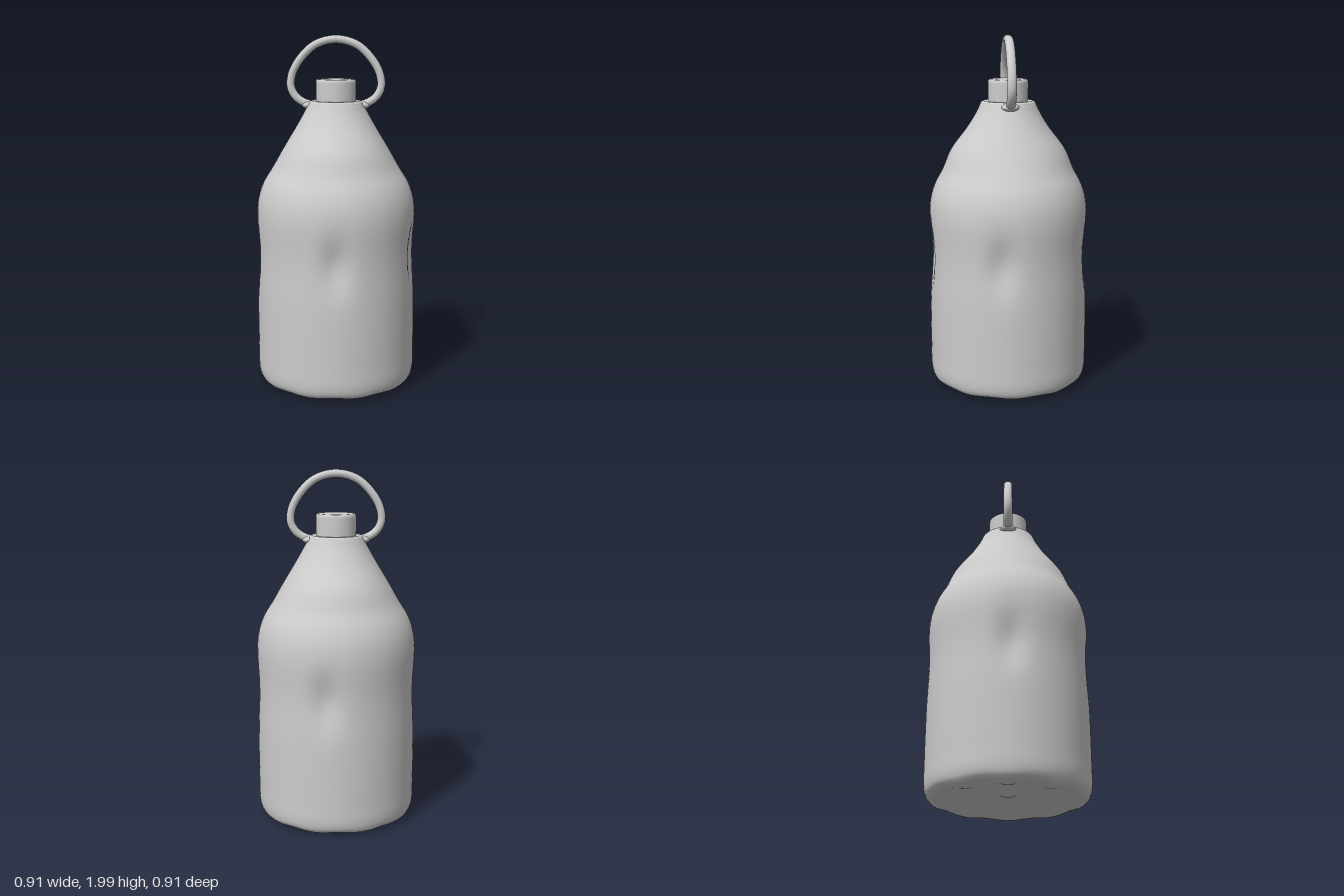
import * as THREE from 'three';
import { mergeVertices } from 'three/addons/utils/BufferGeometryUtils.js';

const material = new THREE.MeshStandardMaterial({ color: 0xcccccc });

// Smooth curve through [radius, height] pairs, spun around y
function spin(pairs, steps, segments) {
  const curve = new THREE.CatmullRomCurve3(pairs.map(([r, y]) => new THREE.Vector3(r, y, 0)), false, 'centripetal');
  const points = curve.getSpacedPoints(steps).map((p) => new THREE.Vector2(Math.max(p.x, 0), p.y));
  return new THREE.LatheGeometry(points, segments);
}

function add(group, name, geometry) {
  const mesh = new THREE.Mesh(geometry, material);
  mesh.name = name;
  group.add(mesh);
  return mesh;
}

const bell = (d, width) => Math.exp(-((d / width) ** 2));

// Bottle body: smooth profile, then finger dents, waist and scalloped base
function bodyGeometry() {
  const geo = spin([
    [0, 0.035], [0.03, 0.04], [0.06, 0.055], [0.15, 0.045], [0.28, 0.025], [0.36, 0.012], [0.405, 0.012],
    [0.438, 0.03], [0.452, 0.07], [0.455, 0.2], [0.455, 0.5], [0.455, 0.8], [0.455, 1.0],
    [0.443, 1.09], [0.415, 1.17], [0.36, 1.26], [0.303, 1.36], [0.225, 1.49], [0.18, 1.57],
    [0.163, 1.605], [0.155, 1.625], [0.14, 1.633], [0.1, 1.633],
  ], 120, 96);
  // Dent directions, measured from +z towards +x
  const dents = [0.04, Math.PI / 2 - 0.16, Math.PI - 0.16, -Math.PI / 2 + 0.04];
  const pos = geo.attributes.position;
  for (let i = 0; i < pos.count; i++) {
    const x = pos.getX(i), y = pos.getY(i), z = pos.getZ(i);
    const r = Math.hypot(x, z);
    if (r < 1e-6) continue;
    const a = Math.atan2(x, z);
    let nr = r;
    if (y > 0.1) {
      nr -= 0.006 * bell(y - 0.76, 0.17);
      for (const d of dents) {
        const off = Math.atan2(Math.sin(a - d), Math.cos(a - d));
        nr -= 0.036 * bell(off, 0.17) * bell(y - 0.77, 0.15);
      }
      // Shoulder is a little fuller front and back
      nr += 0.022 * Math.cos(a) ** 2 * bell(y - 1.36, 0.1);
    }
    const wave = 0.006 * Math.cos(a * 10) * bell(r - 0.37, 0.07) * (y < 0.06 ? 1 : 0);
    pos.setXYZ(i, (x / r) * nr, Math.max(0, y + wave), (z / r) * nr);
  }
  // Weld the seam so that shading stays smooth
  geo.deleteAttribute('uv');
  geo.deleteAttribute('normal');
  const welded = mergeVertices(geo, 1e-5);
  welded.computeVertexNormals();
  return welded;
}

export function createModel() {
  const group = new THREE.Group();
  group.name = 'bottle';

  add(group, 'body', bodyGeometry());

  // Collar round the neck
  const collar = add(group, 'collar', new THREE.TorusGeometry(0.138, 0.02, 12, 64));
  collar.rotation.x = Math.PI / 2;
  collar.position.y = 1.615;

  // Screw cap with softened top edge
  const capProfile = [[0.114, 1.6], [0.114, 1.735], [0.112, 1.748], [0.105, 1.755], [0.09, 1.756], [0, 1.756]];
  add(group, 'cap', new THREE.LatheGeometry(capProfile.map(([r, y]) => new THREE.Vector2(r, y)), 48));

  // Carrying loop, mirrored from one half
  const half = [[0.13, 1.61], [0.175, 1.622], [0.225, 1.655], [0.254, 1.71], [0.247, 1.785], [0.2, 1.87], [0.115, 1.948]];
  const path = [
    ...half.map(([x, y]) => new THREE.Vector3(-x, y, 0)),
    new THREE.Vector3(0, 1.977, 0),
    ...half.slice().reverse().map(([x, y]) => new THREE.Vector3(x, y, 0)),
  ];
  const loop = new THREE.TubeGeometry(new THREE.CatmullRomCurve3(path), 96, 0.023, 14);
  loop.scale(1, 1, 1.13);
  add(group, 'carryLoop', loop);

  // Tabs joining the loop to the collar
  for (const side of [-1, 1]) {
    const tab = add(group, side > 0 ? 'leftTab' : 'rightTab', new THREE.SphereGeometry(1, 24, 16));
    tab.scale.set(0.048, 0.024, 0.05);
    tab.position.set(side * 0.145, 1.61, 0);
  }
  return group;
}
